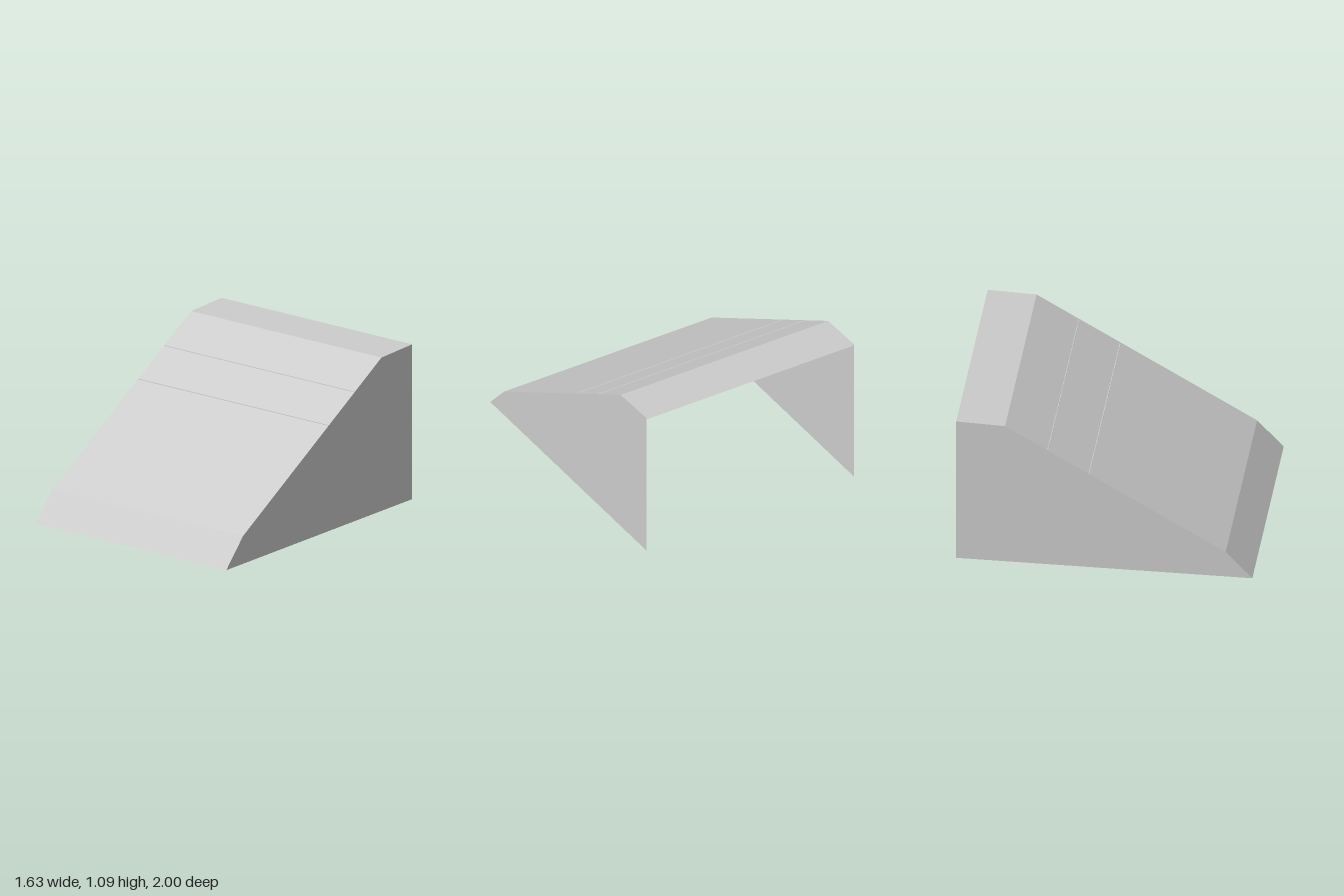
import * as THREE from 'three';

const WIDTH = 1.63;
const material = new THREE.MeshStandardMaterial({
  color: 0xcccccc, flatShading: true, side: THREE.DoubleSide,
});

// Folded sheet: sweeps a [z, y] profile (back to front) across the full width.
function foldedSheet(name, profile) {
  const plane = new THREE.PlaneGeometry(WIDTH, 1, 1, profile.length - 1);
  const pos = plane.attributes.position;
  for (let i = 0; i < pos.count; i++) {
    const [z, y] = profile[Math.floor(i / 2)];
    pos.setXYZ(i, pos.getX(i), y, z);
  }
  const geometry = plane.toNonIndexed();
  geometry.computeVertexNormals();
  const mesh = new THREE.Mesh(geometry, material);
  mesh.name = name;
  return mesh;
}

export function createModel() {
  const group = new THREE.Group();
  group.name = 'stairRamp';

  // Sloping cover: landing, long ramp and steeper toe
  const cover = [[-1, 1.09], [-0.67, 1.08], [0.82, 0.2], [1, 0.005]];
  group.add(foldedSheet('rampCover', cover));

  // Staircase beneath the cover; each nosing just meets the ramp
  const nosings = [[-0.67, 1.079], [-0.38, 0.912], [-0.1, 0.747],
    [0.24, 0.542], [0.53, 0.371], [0.82, 0.199]];
  const steps = [[-1, 1.079]];
  nosings.forEach(([z, y], i) => {
    const below = i + 1 < nosings.length ? nosings[i + 1][1] : 0;
    steps.push([z, y], [z, below]);
  });
  group.add(foldedSheet('stairs', steps));

  // Thin side walls; back and underside stay open
  const outline = new THREE.Shape(
    [[-1, 0], [1, 0.005], [0.82, 0.2], [-0.67, 1.08], [-1, 1.09]]
      .map(([z, y]) => new THREE.Vector2(z, y)));
  for (const side of [-1, 1]) {
    const geometry = new THREE.ShapeGeometry(outline);
    if (side > 0) geometry.scale(-1, 1, 1).index.array.reverse();
    geometry.rotateY(side * Math.PI / 2);
    geometry.computeVertexNormals();
    const wall = new THREE.Mesh(geometry, material);
    wall.name = side > 0 ? 'leftWall' : 'rightWall';
    wall.position.x = side * WIDTH / 2;
    group.add(wall);
  }
  return group;
}
